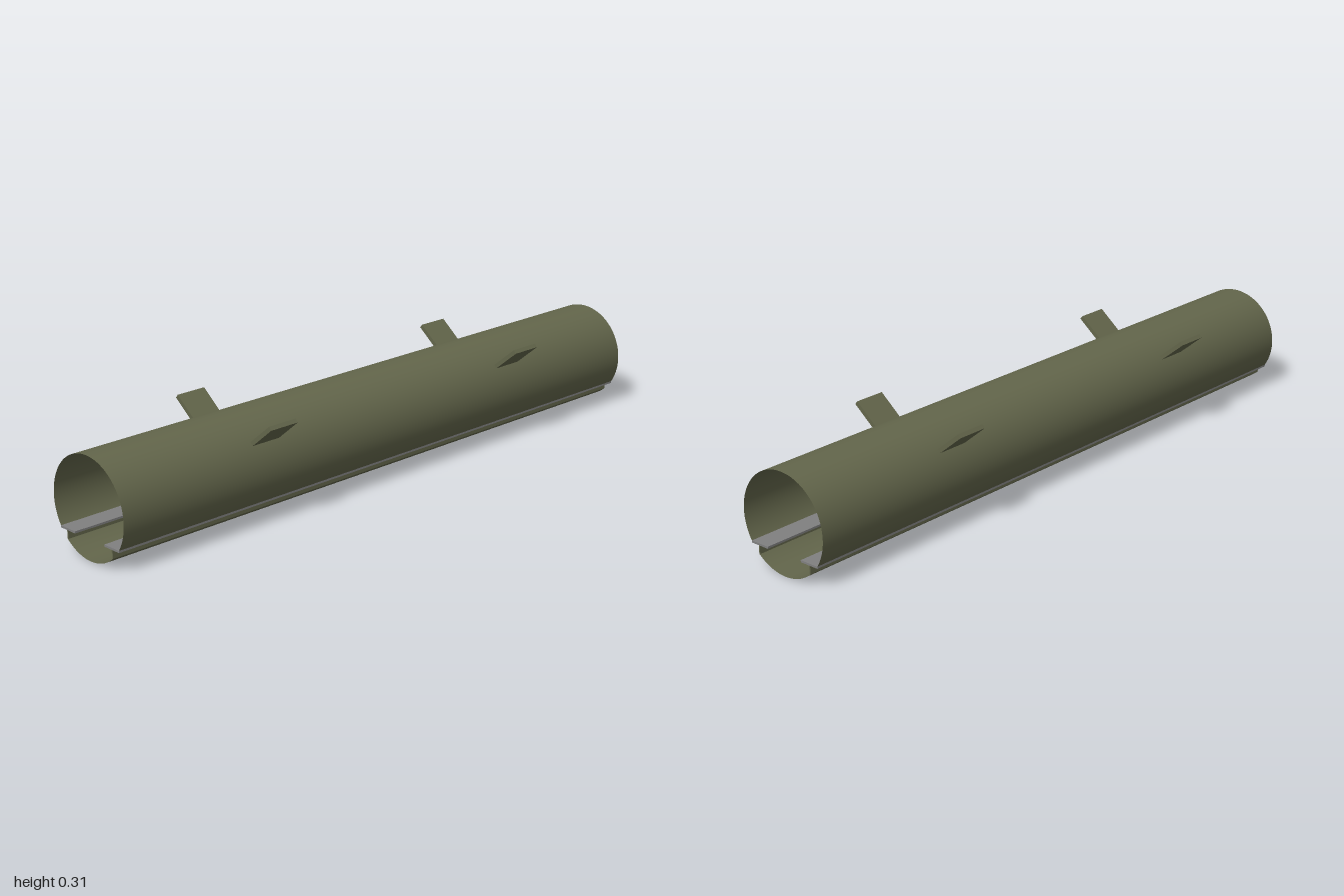
import * as THREE from 'three';

const R = 0.1475, LENGTH = 2;

export function createModel() {
  const olive = new THREE.MeshStandardMaterial({ color: 0x63664b, side: THREE.DoubleSide });
  olive.name = 'olive drab';
  const grey = new THREE.MeshStandardMaterial({ color: 0x808080 });
  grey.name = 'rail grey';

  const model = new THREE.Group();
  model.name = 'launchTube';

  const add = (name, geometry, material, x, y, z = 0, parent = model) => {
    const mesh = new THREE.Mesh(geometry, material);
    mesh.name = name;
    mesh.position.set(x, y, z);
    parent.add(mesh);
    return mesh;
  };

  // thin open shell along z; angles are measured from the bottom
  const shell = (start, sweep, segments) =>
    new THREE.CylinderGeometry(R, R, LENGTH, segments, 1, true, start, sweep).rotateX(Math.PI / 2);
  const angleAt = (y) => Math.acos((R - y) / R);

  const slotTop = 0.066, slotBottom = 0.036;
  const upper = angleAt(slotTop), lower = angleAt(slotBottom);
  add('upperShell', shell(upper, 2 * (Math.PI - upper), 64), olive, 0, R);
  add('lowerShell', shell(-lower, 2 * lower, 24), olive, 0, R);

  for (const side of [1, -1]) {
    const name = side > 0 ? 'left' : 'right';

    // grey ledge running the full length inside the notch
    const outer = R * Math.sin(upper), inner = 0.062;
    add(name + 'Rail', new THREE.BoxGeometry(outer - inner, 0.006, LENGTH), grey,
      side * (outer + inner) / 2, slotTop - 0.003);

    // upright wall joining the lower shell to the ledge
    const wallX = R * Math.sin(lower), wallTop = slotTop - 0.006;
    add(name + 'NotchWall', new THREE.BoxGeometry(0.004, wallTop - slotBottom, LENGTH), olive,
      side * (wallX - 0.002), (wallTop + slotBottom) / 2);

    // slanted lugs, front and back
    for (const z of [0.49, -0.49]) {
      const lug = add(name + (z > 0 ? 'Front' : 'Back') + 'Lug',
        new THREE.BoxGeometry(0.098, 0.0125, 0.096), olive, side * 0.155, 0.269, z);
      lug.rotation.z = side * 0.69;
    }
  }
  return model;
}
